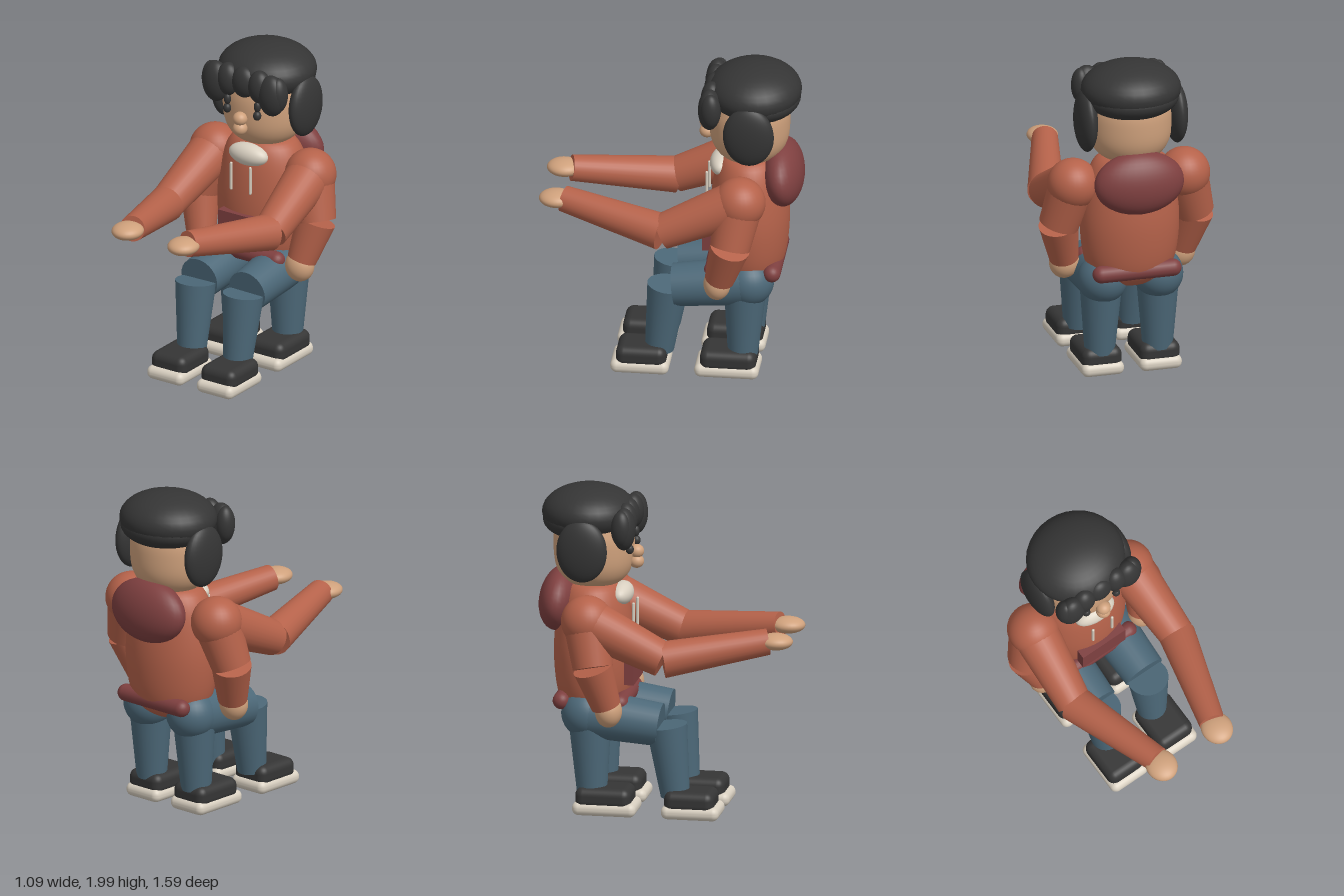
import * as THREE from 'three';
import { RoundedBoxGeometry } from 'three/addons/geometries/RoundedBoxGeometry.js';

const V = (x, y, z) => new THREE.Vector3(x, y, z);

export function createModel() {
  const model = new THREE.Group();
  model.name = 'seatedFigure';

  const mat = (name, color) => {
    const m = new THREE.MeshStandardMaterial({ color });
    m.name = name;
    return m;
  };
  const hoodie = mat('hoodie rust', 0xb5624a);
  const trim = mat('hoodie maroon', 0x7f4040);
  const skin = mat('skin', 0xcfa17c);
  const dark = mat('hair and shoe charcoal', 0x353535);
  const denim = mat('denim', 0x4c6878);
  const cream = mat('cream', 0xd9d0c1);

  const add = (name, geometry, material, pos = [0, 0, 0]) => {
    const mesh = new THREE.Mesh(geometry, material);
    mesh.name = name;
    mesh.position.set(...pos);
    model.add(mesh);
    return mesh;
  };
  const ball = (name, material, pos, r) => {
    const mesh = add(name, new THREE.SphereGeometry(1, 32, 20), material, pos);
    mesh.scale.set(...r);
    return mesh;
  };
  // Tapered cylinder from a (radius ra) to b (radius rb)
  const limb = (name, material, a, b, ra, rb) => {
    const dir = b.clone().sub(a);
    const mesh = add(name, new THREE.CylinderGeometry(rb, ra, dir.length(), 28), material);
    mesh.position.copy(a).add(b).multiplyScalar(0.5);
    mesh.quaternion.setFromUnitVectors(V(0, 1, 0), dir.normalize());
    return mesh;
  };
  // Smooth solid of revolution through a few profile points, flattened in z
  const turned = (name, material, profile, z, depth) => {
    const curve = new THREE.SplineCurve(profile.map(([r, y]) => new THREE.Vector2(r, y)));
    const pts = curve.getPoints(36);
    pts.forEach((p) => { p.x = Math.max(p.x, 0); });
    const mesh = add(name, new THREE.LatheGeometry(pts, 40), material, [0, 0, z]);
    mesh.scale.z = depth;
    return mesh;
  };

  // Torso and head
  turned('torso', hoodie, [[0, 0.565], [0.14, 0.59], [0.24, 0.66], [0.285, 0.77], [0.305, 0.95],
    [0.295, 1.12], [0.26, 1.29], [0.2, 1.39], [0.1, 1.42], [0, 1.425]], -0.46, 0.79);
  turned('head', skin, [[0, 1.37], [0.12, 1.385], [0.2, 1.43], [0.245, 1.51], [0.258, 1.62],
    [0.25, 1.73], [0.2, 1.84], [0, 1.9]], -0.46, 0.95);

  // Face
  ball('nose', skin, [0, 1.595, -0.2], [0.045, 0.042, 0.045]);
  ball('mouth', skin, [0, 1.532, -0.2], [0.045, 0.042, 0.045]);

  // Hair
  ball('hairCrown', dark, [0, 1.835, -0.49], [0.305, 0.165, 0.285]);
  ball('hairBack', dark, [0, 1.79, -0.52], [0.285, 0.125, 0.25]);
  ball('fringeMiddle', dark, [0, 1.82, -0.245], [0.085, 0.1, 0.062]);

  // Hoodie details
  const hood = ball('hood', trim, [0, 1.285, -0.665], [0.28, 0.195, 0.125]);
  hood.rotation.x = 0.12;
  ball('collar', cream, [0, 1.33, -0.29], [0.137, 0.07, 0.07]);
  add('pocket', new THREE.BoxGeometry(0.312, 0.168, 0.06), trim, [0, 0.88, -0.22]);
  for (const [name, z] of [['frontHem', -0.26], ['backHem', -0.62]]) {
    const hem = add(name, new THREE.CapsuleGeometry(0.053, 0.45, 8, 20), trim, [0, 0.7, z]);
    hem.rotation.z = Math.PI / 2;
  }

  const shoe = (name, x, z, length) => {
    add(name + 'Sole', new RoundedBoxGeometry(0.265, 0.085, length, 4, 0.04), cream, [x, 0.048, z]);
    add(name + 'Upper', new RoundedBoxGeometry(0.25, 0.13, length - 0.05, 4, 0.05), dark, [x, 0.112, z - 0.008]);
  };

  for (const [side, s] of [['left', 1], ['right', -1]]) {
    // Eyes, brows, side hair, fringe and drawstrings
    ball(side + 'Eye', dark, [s * 0.11, 1.632, -0.222], [0.025, 0.03, 0.025]);
    ball(side + 'Brow', dark, [s * 0.11, 1.69, -0.225], [0.022, 0.035, 0.022]);
    ball(side + 'SideHair', dark, [s * 0.283, 1.65, -0.485], [0.064, 0.193, 0.155]);
    ball(side + 'FringeInner', dark, [s * 0.115, 1.815, -0.243], [0.075, 0.105, 0.066]);
    ball(side + 'FringeOuter', dark, [s * 0.205, 1.78, -0.24], [0.09, 0.13, 0.07]);
    ball(side + 'FringeEnd', dark, [s * 0.245, 1.79, -0.25], [0.058, 0.11, 0.062]);
    add(side + 'Drawstring', new THREE.CapsuleGeometry(0.009, 0.165, 4, 10), cream, [s * 0.07, 1.2, -0.207]);

    // Shoulder shared by both arms
    const shoulder = V(s * 0.35, 1.235, -0.44);
    ball(side + 'Shoulder', hoodie, shoulder.toArray(), [0.157, 0.157, 0.157]);

    // Hanging arm
    const lowElbow = V(s * 0.425, 0.965, -0.39), lowWrist = V(s * 0.37, 0.72, -0.32);
    limb(side + 'HangingUpperArm', hoodie, shoulder, lowElbow, 0.145, 0.122);
    limb(side + 'HangingForearm', hoodie, lowElbow, lowWrist, 0.122, 0.09);
    ball(side + 'HangingHand', skin, [s * 0.365, 0.685, -0.305], [0.092, 0.1, 0.082]);

    // Reaching arm
    const elbow = V(s * 0.38, 1.025, 0.03), wrist = V(s * 0.203, 1.122, 0.645);
    limb(side + 'ReachingUpperArm', hoodie, shoulder, elbow, 0.145, 0.108);
    limb(side + 'ReachingForearm', hoodie, elbow, wrist, 0.112, 0.08);
    ball(side + 'ReachingHand', skin, [s * 0.205, 1.125, 0.69], [0.095, 0.05, 0.105]);

    // Hip shared by both legs
    const hip = V(s * 0.175, 0.62, -0.475);
    ball(side + 'Hip', denim, hip.toArray(), [0.153, 0.153, 0.153]);

    // Standing leg
    limb(side + 'StandingLeg', denim, V(s * 0.178, 0.62, -0.455), V(s * 0.182, 0.14, -0.44), 0.133, 0.092);
    shoe(side + 'StandingShoe', s * 0.182, -0.35, 0.39);

    // Bent leg
    limb(side + 'Thigh', denim, hip, V(s * 0.175, 0.565, -0.022), 0.15, 0.131);
    limb(side + 'Shin', denim, V(s * 0.175, 0.566, 0.016), V(s * 0.168, 0.13, 0.068), 0.125, 0.088);
    shoe(side + 'BentShoe', s * 0.182, 0.177, 0.355);
  }
  return model;
}
